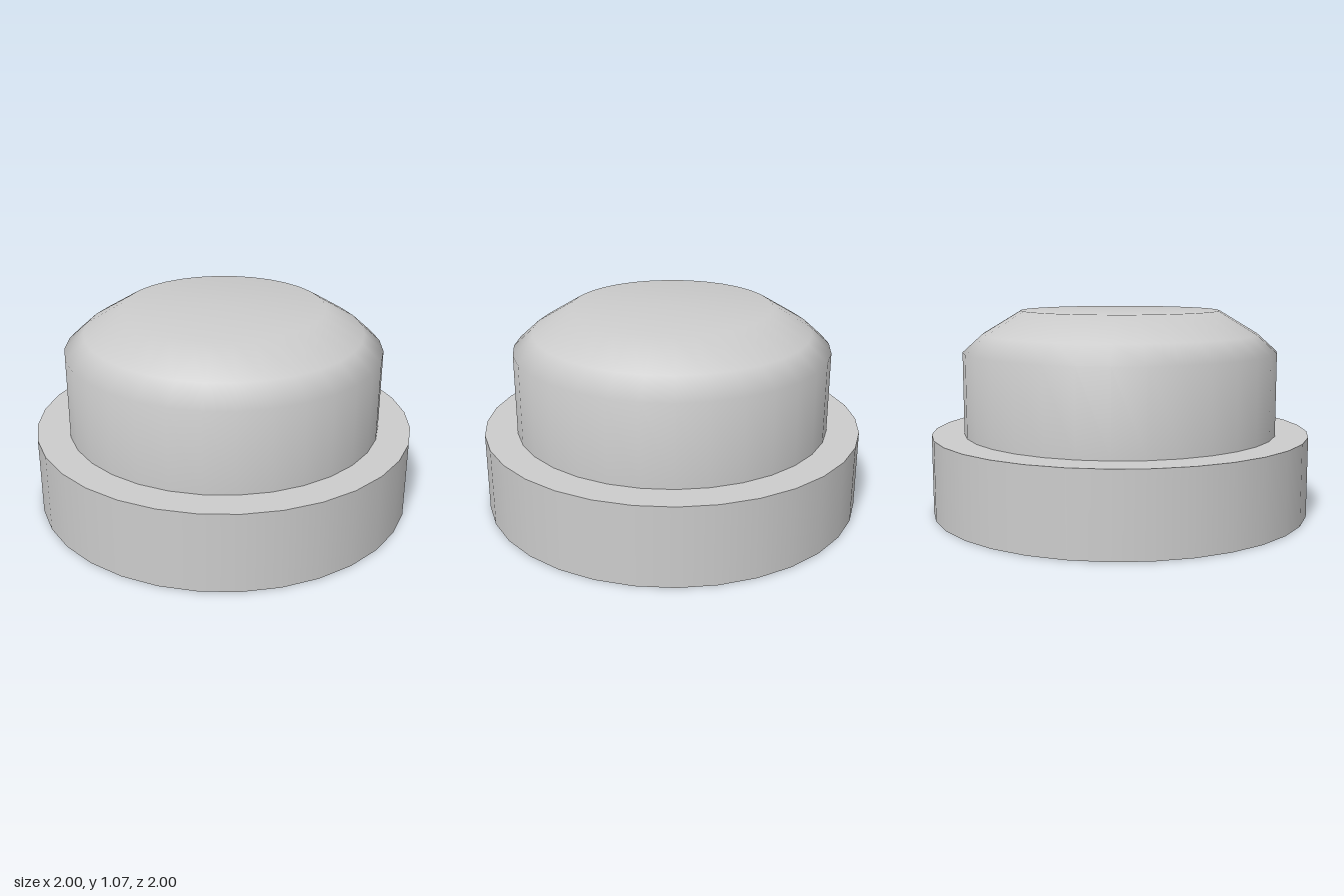
import * as THREE from 'three';

const SIDES = 32;
const BASE_HEIGHT = 0.42;

export function createModel() {
  const group = new THREE.Group();
  group.name = 'domedButton';
  const material = new THREE.MeshStandardMaterial({ color: 0xcccccc });

  // Wide round base
  const base = new THREE.Mesh(new THREE.CylinderGeometry(1, 1, BASE_HEIGHT, SIDES), material);
  base.name = 'base';
  base.position.y = BASE_HEIGHT / 2;
  group.add(base);

  // Smooth cap: straight wall, rounded shoulder, flat crown
  const profile = [
    [0.83, BASE_HEIGHT],
    [0.83, 0.85],
    [0.727, 0.943],
    [0.525, 1.065],
    [0, 1.065],
  ].map(([r, y]) => new THREE.Vector2(r, y));
  const cap = new THREE.Mesh(new THREE.LatheGeometry(profile, SIDES), material);
  cap.name = 'cap';
  group.add(cap);

  return group;
}
